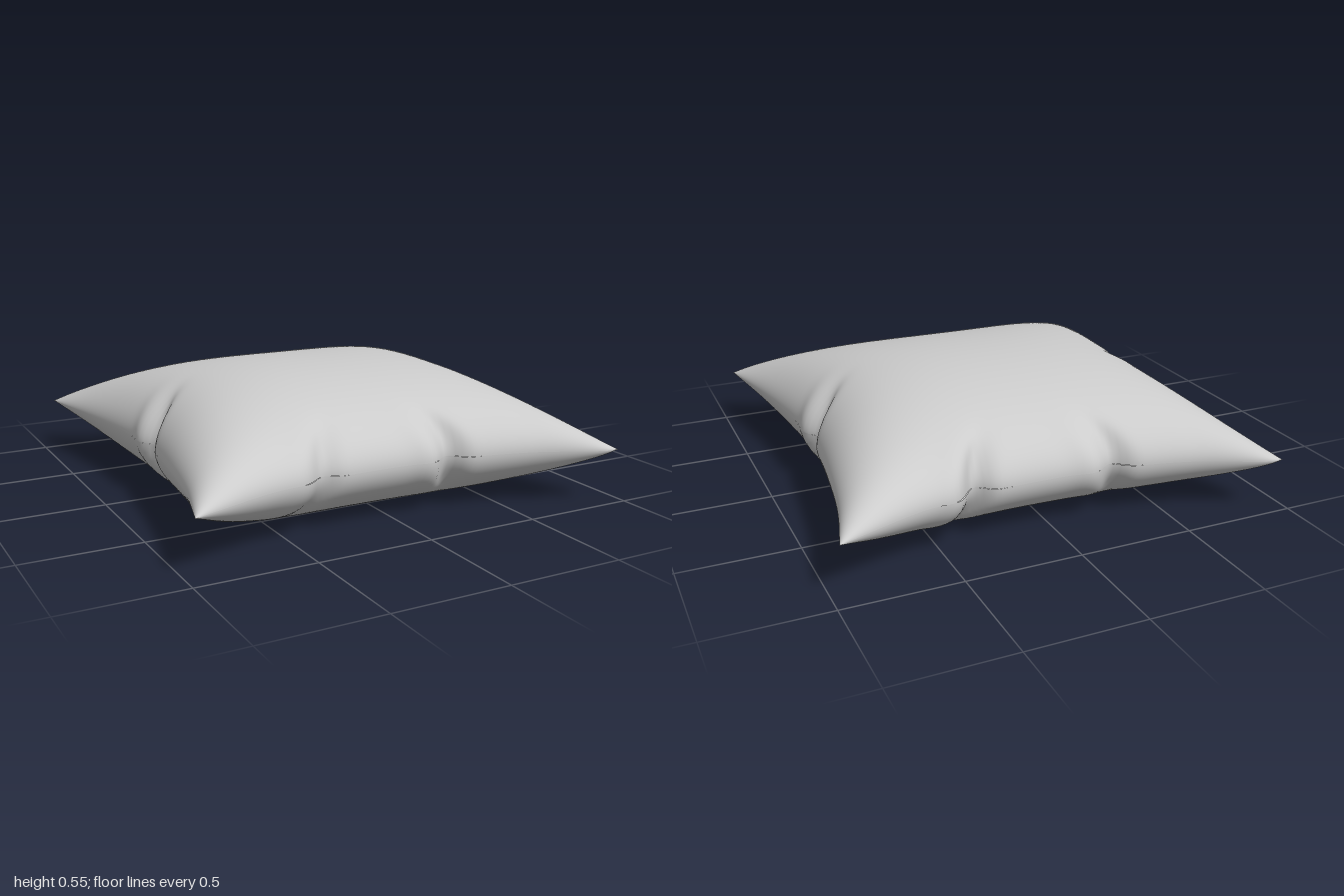
import * as THREE from 'three';

const SEAM_Y = 0.24, RISE = 0.31, N = 130;

// Seam outline: two edges drawn as curves, the opposite two are the same turned by 180 degrees
const curve = (pts) => new THREE.CatmullRomCurve3(pts.map(([x, z]) => new THREE.Vector3(x, 0, z)));
const turned = (pts) => pts.map(([x, z]) => [-x, -z]).reverse();
const backPts = [[-0.945, -1], [-0.885, -0.995], [-0.6, -0.87], [-0.33, -0.805], [0, -0.78],
  [0.3, -0.785], [0.6, -0.835], [0.85, -0.92], [0.97, -0.965]];
const rightPts = [[0.97, -0.965], [0.9, -0.7], [0.85, -0.4], [0.815, -0.1], [0.81, 0.1],
  [0.835, 0.4], [0.88, 0.7], [0.945, 1]];

// Pinched folds on the seam: position, inward direction, depth and lean of the fold
const pinches = [
  { x: -0.26, z: -0.79, nx: 0, nz: 1, depth: 0.05, lean: 0.4 },
  { x: 0.35, z: -0.79, nx: 0, nz: 1, depth: 0.065, lean: -0.4 },
  { x: 0.24, z: 0.79, nx: 0, nz: -1, depth: 0.055, lean: 0.4 },
  { x: -0.35, z: 0.79, nx: 0, nz: -1, depth: 0.04, lean: -0.4 },
  { x: 0.81, z: 0, nx: -1, nz: 0, depth: 0.05, lean: 0.5 },
  { x: -0.81, z: 0.03, nx: 1, nz: 0, depth: 0.05, lean: 0.5 },
];
const bell = (d, w) => Math.exp(-((d / w) ** 2));

function pinch(p, side) {
  let dx = 0, dz = 0;
  for (const f of pinches) {
    const rx = p.x - f.x, rz = p.z - f.z;
    const inward = rx * f.nx + rz * f.nz;
    const along = rx * f.nz - rz * f.nx - side * f.lean * inward;
    const pull = f.depth * (bell(along, 0.055) - 0.25 * bell(along - 0.11, 0.06)) * bell(inward, 0.13);
    dx += f.nx * pull;
    dz += f.nz * pull;
  }
  p.x += dx;
  p.z += dz;
}

// Puffed height over the unit square
const puff = (u, v) => RISE * Math.max(0, 1 - Math.abs(u) ** 3.5) ** 0.58 * Math.sqrt(Math.max(0, 1 - v * v));
// Underside settles softly onto the floor
const settle = (h) => h - 0.012 * Math.log(1 + Math.exp((h - SEAM_Y) / 0.012));

function panel(side, edges) {
  const { back, front, left, right } = edges;
  const pos = [], index = [];
  const ease = (i) => Math.sin((i / N - 0.5) * Math.PI); // finer rows towards the seam
  const mix = (a, b, t) => a + (b - a) * t;
  for (let j = 0; j <= N; j++) {
    const v = ease(j), t = (v + 1) / 2;
    for (let i = 0; i <= N; i++) {
      const u = ease(i), s = (u + 1) / 2;
      // Blend the four edges across the panel
      const blend = (k) => mix(back[i][k], front[i][k], t) + mix(left[j][k], right[j][k], s)
        - mix(mix(back[0][k], back[N][k], s), mix(front[0][k], front[N][k], s), t);
      const p = { x: blend('x'), z: blend('z') };
      pinch(p, side);
      const h = puff(u, v);
      pos.push(p.x, SEAM_Y + (side > 0 ? h : -settle(h)), p.z);
      if (i < N && j < N) {
        const a = j * (N + 1) + i, b = a + 1, c = a + N + 1, d = c + 1;
        if (side > 0) index.push(a, c, b, b, c, d);
        else index.push(a, b, c, b, d, c);
      }
    }
  }
  const g = new THREE.BufferGeometry();
  g.setAttribute('position', new THREE.Float32BufferAttribute(pos, 3));
  g.setIndex(index);
  g.computeVertexNormals();
  return g;
}

export function createModel() {
  const group = new THREE.Group();
  group.name = 'cushion';
  const material = new THREE.MeshStandardMaterial({ color: 0xcccccc, side: THREE.DoubleSide });

  const sample = (pts) => {
    const c = curve(pts);
    return Array.from({ length: N + 1 }, (_, i) => c.getPointAt((Math.sin((i / N - 0.5) * Math.PI) + 1) / 2));
  };
  const edges = {
    back: sample(backPts),
    front: sample(turned(backPts)),
    right: sample(rightPts),
    left: sample(turned(rightPts)),
  };

  // Upper and lower fabric panels meeting at the seam
  for (const [name, side] of [['topPanel', 1], ['bottomPanel', -1]]) {
    const mesh = new THREE.Mesh(panel(side, edges), material);
    mesh.name = name;
    group.add(mesh);
  }
  return group;
}
